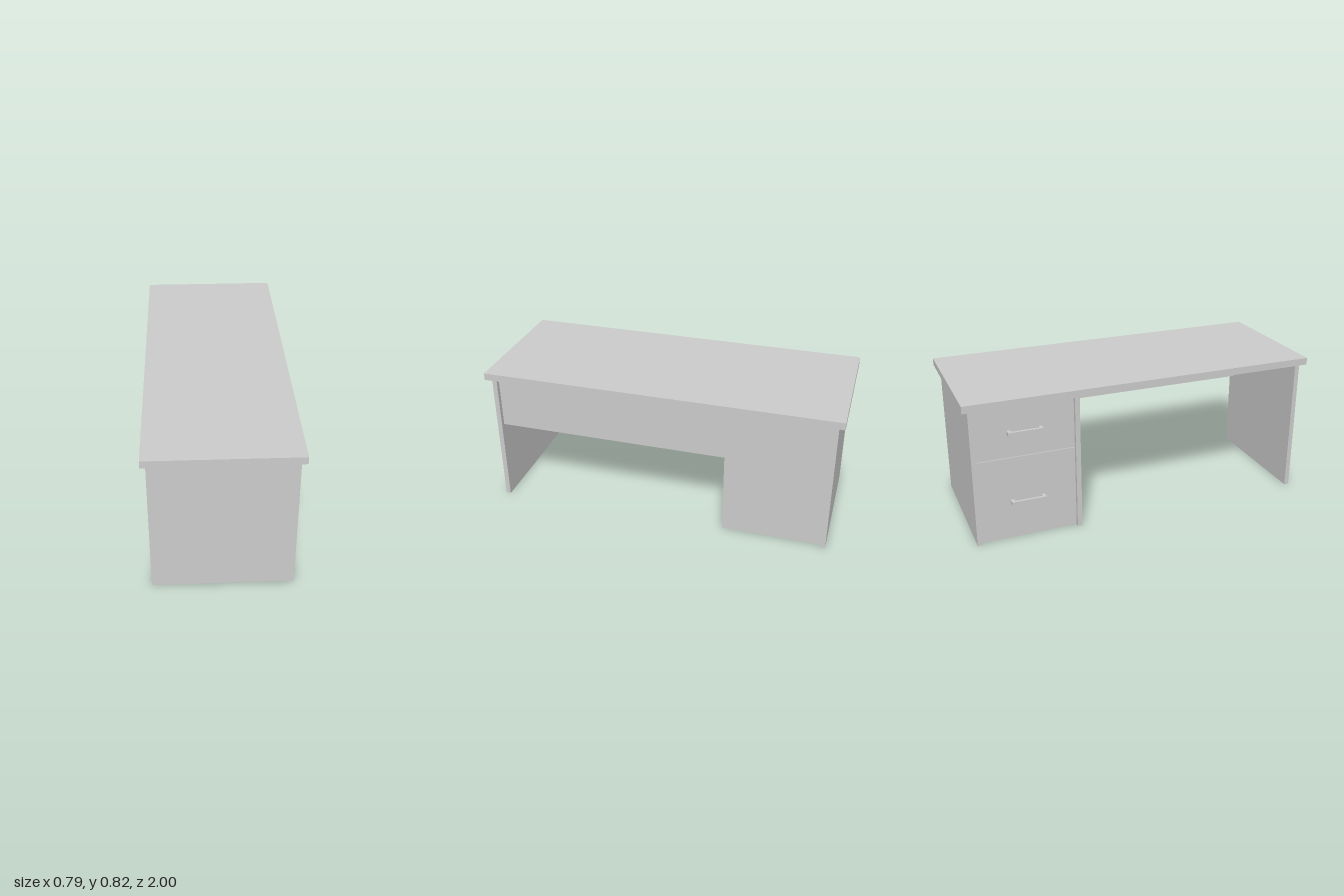
import * as THREE from 'three';

const material = new THREE.MeshStandardMaterial({ color: 0xcccccc });

// Box given by its limits on each axis
function box(name, [x0, x1], [y0, y1], [z0, z1]) {
  const mesh = new THREE.Mesh(new THREE.BoxGeometry(x1 - x0, y1 - y0, z1 - z0), material);
  mesh.name = name;
  mesh.position.set((x0 + x1) / 2, (y0 + y1) / 2, (z0 + z1) / 2);
  return mesh;
}

// Bar handle on two posts, pointing to -x
function handle(y) {
  const group = new THREE.Group();
  group.name = 'drawerHandle';
  const ys = [y - 0.011, y + 0.011];
  group.add(box('handleBar', [-0.385, -0.37], ys, [-0.77, -0.58]));
  for (const z of [-0.77, -0.6]) group.add(box('handlePost', [-0.37, -0.35], ys, [z, z + 0.02]));
  return group;
}

export function createModel() {
  const desk = new THREE.Group();
  desk.name = 'desk';
  const top = 0.78;

  // Table top and the two end panels
  desk.add(box('tableTop', [-0.395, 0.395], [top, 0.82], [-1, 1]));
  desk.add(box('frontEndPanel', [-0.37, 0.37], [0, top], [0.941, 0.968]));
  desk.add(box('backEndPanel', [-0.37, 0.37], [0, top], [-0.968, -0.941]));

  // Modesty panel across the knee space
  desk.add(box('modestyPanel', [0.32, 0.345], [0.475, top], [-0.375, 0.941]));

  // Drawer pedestal: side panel, carcass and plinth
  const pedestal = new THREE.Group();
  pedestal.name = 'drawerPedestal';
  const inner = [-0.941, -0.402];
  pedestal.add(box('pedestalSidePanel', [-0.37, 0.345], [0, top], [-0.402, -0.375]));
  pedestal.add(box('pedestalCarcass', [-0.33, 0.345], [0, top], inner));
  pedestal.add(box('plinth', [-0.345, -0.33], [0, 0.065], inner));

  // Drawer fronts with handles
  for (const [y0, y1, yHandle] of [[0.067, 0.478, 0.221], [0.481, top, 0.624]]) {
    pedestal.add(box('drawerFront', [-0.35, -0.33], [y0, y1], inner));
    pedestal.add(handle(yHandle));
  }
  desk.add(pedestal);
  return desk;
}
